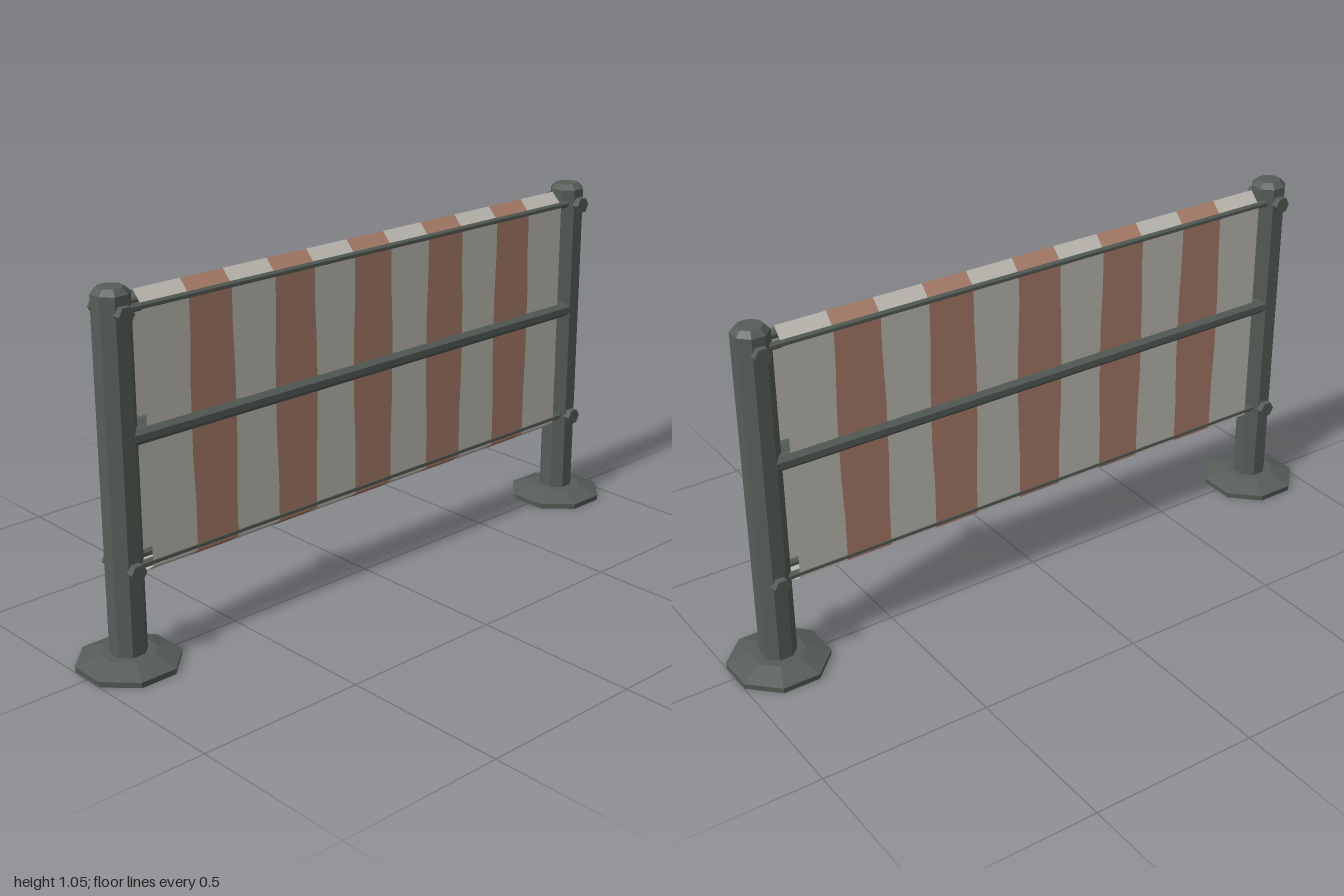
import * as THREE from 'three';

const dark = new THREE.MeshStandardMaterial({ name: 'dark metal', color: 0x565d58 });
const pale = new THREE.MeshStandardMaterial({ name: 'pale cloth', color: 0xc0bdb5, side: THREE.DoubleSide });
const brown = new THREE.MeshStandardMaterial({ name: 'brown cloth', color: 0xab7e6a, side: THREE.DoubleSide });

// Gives every face its own flat normal.
function faceted(geometry) {
  const g = geometry.index ? geometry.toNonIndexed() : geometry;
  g.computeVertexNormals();
  return g;
}

function add(parent, name, geometry, material, x = 0, y = 0, z = 0) {
  const mesh = new THREE.Mesh(faceted(geometry), material);
  mesh.name = name;
  mesh.position.set(x, y, z);
  parent.add(mesh);
}

// Octagonal solid turned from [apothem, height] pairs, flats facing the axes.
function octagonal(profile) {
  const k = 1 / Math.cos(Math.PI / 8);
  return new THREE.LatheGeometry(profile.map(([r, y]) => new THREE.Vector2(r * k, y)), 8)
    .rotateY(Math.PI / 8);
}

function bar(apothem, length) {
  const h = length / 2;
  return octagonal([[0, -h], [apothem, -h], [apothem, h], [0, h]]).rotateZ(Math.PI / 2);
}

// Half height profile of the cloth: [y, z, amount the stripes bulge].
const side = [
  [1.03, 0, 0], [0.993, 0.036, 0], [0.89, 0.036, 0], [0.75, 0.036, 0.005],
  [0.55, 0.036, 0.005], [0.42, 0.036, 0], [0.277, 0.036, 0], [0.25, 0, 0],
];

// One vertical cloth band wrapping front and back; a bulge sign per edge.
function band(x0, x1, s0, s1) {
  const pos = [];
  for (const f of [1, -1]) {
    for (let i = 0; i < side.length - 1; i++) {
      const [ya, za, ba] = side[i], [yb, zb, bb] = side[i + 1];
      const a = [x0 + s0 * ba, ya, f * za], b = [x1 + s1 * ba, ya, f * za];
      const c = [x0 + s0 * bb, yb, f * zb], d = [x1 + s1 * bb, yb, f * zb];
      const tris = f > 0 ? [a, c, b, b, c, d] : [a, b, c, b, d, c];
      for (const p of tris) pos.push(...p);
    }
  }
  return new THREE.BufferGeometry().setAttribute('position', new THREE.Float32BufferAttribute(pos, 3));
}

export function createModel() {
  const model = new THREE.Group();
  model.name = 'barrier';
  const postX = 0.864;

  // Posts with feet and bolts
  for (const s of [-1, 1]) {
    const post = new THREE.Group();
    post.name = s > 0 ? 'leftPost' : 'rightPost';
    post.position.x = s * postX;
    add(post, 'foot', octagonal([[0, 0], [0.134, 0], [0.136, 0.017], [0.073, 0.041], [0, 0.041]]), dark);
    add(post, 'pole', octagonal([[0, 0.03], [0.0485, 0.03], [0.0485, 1.034], [0.033, 1.05], [0, 1.05]]), dark);
    for (const y of [0.288, 0.987]) {
      const bolt = new THREE.CylinderGeometry(0.025, 0.025, 0.136, 6)
        .rotateY(Math.PI / 6).rotateX(Math.PI / 2);
      add(post, 'bolt', bolt, dark, 0, y, 0);
    }
    model.add(post);
  }

  // Rails at mid height and thin cords along the hems, on both faces
  for (const f of [-1, 1]) {
    add(model, 'middleRail', bar(0.0225, 1.69), dark, 0, 0.65, f * 0.027);
    for (const y of [0.289, 0.99]) {
      add(model, 'hemCord', bar(0.01, 1.67), dark, 0, y, f * 0.0275);
    }
  }

  // Striped cloth, alternating pale and brown
  const cloth = new THREE.Group();
  cloth.name = 'cloth';
  const pitch = 0.289, half = 0.07, end = 0.797;
  let left = -end;
  for (let i = -2; i <= 2; i++) {
    const c = i * pitch;
    add(cloth, 'paleStripe', band(left, c - half, i === -2 ? 0 : 1, -1), pale);
    add(cloth, 'brownStripe', band(c - half, c + half, -1, 1), brown);
    left = c + half;
  }
  add(cloth, 'paleStripe', band(left, end, 1, 0), pale);
  model.add(cloth);

  return model;
}
